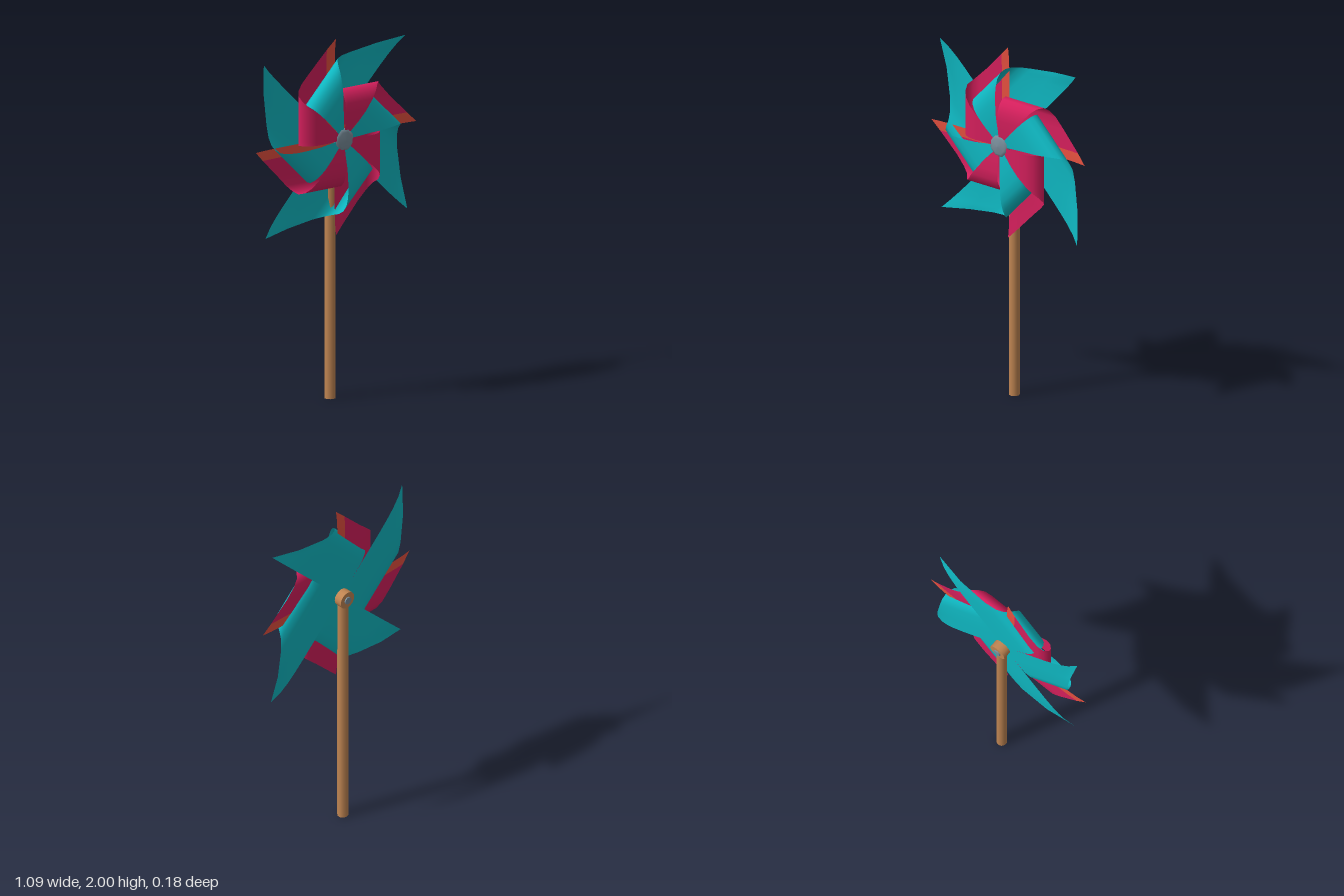
import * as THREE from 'three';

const paint = (name, color, side = THREE.FrontSide) => {
  const m = new THREE.MeshStandardMaterial({ color, side });
  m.name = name;
  return m;
};

// Point on a curl section: s runs along the paper, d is reach from the hub
function sample(profile, s) {
  let i = 0;
  while (i < profile.length - 2 && s > profile[i + 1][0]) i++;
  const [s0, d0, z0] = profile[i], [s1, d1, z1] = profile[i + 1];
  const f = (s - s0) / (s1 - s0);
  return [d0 + (d1 - d0) * f, z0 + (z1 - z0) * f];
}

// Ruled paper triangle: it curls along -x and its uncurled tip lies at +y
function curledSheet(profile, reach, lift, from, to) {
  const rows = profile.map(p => p[0]).filter(s => s > from && s < to);
  const steps = [from, ...rows, to];
  const cols = 10, pos = [], idx = [];
  steps.forEach((s, i) => {
    const [d, z] = sample(profile, s);
    for (let j = 0; j <= cols; j++) {
      const w = (j / cols) * (1 - s);
      pos.push(-d, w * reach, z + lift * w ** 8);
      if (i && j) {
        const a = (i - 1) * (cols + 1) + j - 1, b = a + cols + 1;
        idx.push(a, a + 1, b, a + 1, b + 1, b);
      }
    }
  });
  const g = new THREE.BufferGeometry();
  g.setAttribute('position', new THREE.Float32BufferAttribute(pos, 3));
  g.setIndex(idx);
  g.computeVertexNormals();
  return g;
}

export function createModel() {
  const teal = paint('teal paper', 0x0fb8c2, THREE.DoubleSide);
  const crimson = paint('crimson paper', 0xd41f5c, THREE.DoubleSide);
  const orange = paint('orange paper', 0xe6503f, THREE.DoubleSide);
  const wood = paint('wood', 0xc08552);
  const metal = paint('grey metal', 0x7a8e9b);

  const model = new THREE.Group();
  model.name = 'pinwheel';
  const wheel = new THREE.Group();
  wheel.name = 'wheel';
  wheel.position.y = 1.455;
  model.add(wheel);

  const add = (parent, name, geometry, material) => {
    const m = new THREE.Mesh(geometry, material);
    m.name = name;
    parent.add(m);
    return m;
  };

  // Curl sections: share of paper used, reach, depth
  const tealCurl = [
    [0, 0, -0.036], [0.2, 0.108, -0.036], [0.4, 0.216, -0.034], [0.48, 0.262, -0.024],
    [0.53, 0.288, -0.004], [0.56, 0.299, 0.022], [0.59, 0.296, 0.046], [0.63, 0.276, 0.068],
    [0.68, 0.242, 0.083], [0.74, 0.198, 0.09], [0.84, 0.125, 0.088], [0.92, 0.06, 0.08], [1, 0, 0.074],
  ];
  const crimsonCurl = [
    [0, 0, -0.008], [0.1, 0.055, -0.01], [0.3, 0.162, -0.014], [0.4, 0.22, -0.012],
    [0.46, 0.252, 0], [0.5, 0.27, 0.025], [0.55, 0.262, 0.05], [0.6, 0.238, 0.073],
    [0.66, 0.2, 0.088], [0.74, 0.15, 0.09], [0.86, 0.08, 0.085], [1, 0, 0.074],
  ];

  // Back sheet: four large blades
  const tealBlade = curledSheet(tealCurl, 0.682, 0.036, 0, 1);
  // Front sheet: four smaller blades with an orange border along the cut
  const crimsonBlade = curledSheet(crimsonCurl, 0.545, 0.012, 0.1, 1);
  const border = curledSheet(crimsonCurl, 0.545, 0.012, 0, 0.1);
  for (let i = 0; i < 4; i++) {
    const turn = i * Math.PI / 2;
    add(wheel, 'tealBlade', tealBlade, teal).rotation.z = turn - Math.PI / 4 + 0.012;
    add(wheel, 'crimsonBlade', crimsonBlade, crimson).rotation.z = turn;
    // The lowest blade has a plain border
    add(wheel, 'bladeBorder', border, i === 2 ? crimson : orange).rotation.z = turn;
  }

  // Faceted front cap
  const capShape = [[0, 0.05], [0.058, 0.05], [0.066, 0.064], [0.064, 0.078], [0.045, 0.088], [0, 0.092]]
    .map(([r, y]) => new THREE.Vector2(r, y));
  const cap = add(wheel, 'hubCap', new THREE.LatheGeometry(capShape, 8), metal);
  cap.rotation.set(Math.PI / 2, Math.PI / 8, 0);

  // Cylinder along z between two depths
  const axial = (name, radius, z0, z1, sides, material) => {
    const m = add(wheel, name, new THREE.CylinderGeometry(radius, radius, z1 - z0, sides), material);
    m.rotation.x = Math.PI / 2;
    m.position.z = (z0 + z1) / 2;
  };
  axial('axlePin', 0.022, -0.092, 0.06, 12, metal);
  axial('collar', 0.05, -0.085, -0.038, 16, wood);

  // Handle
  const stick = add(model, 'stick', new THREE.CylinderGeometry(0.03, 0.03, 1.45, 10), wood);
  stick.position.set(0, 0.725, -0.048);
  return model;
}
